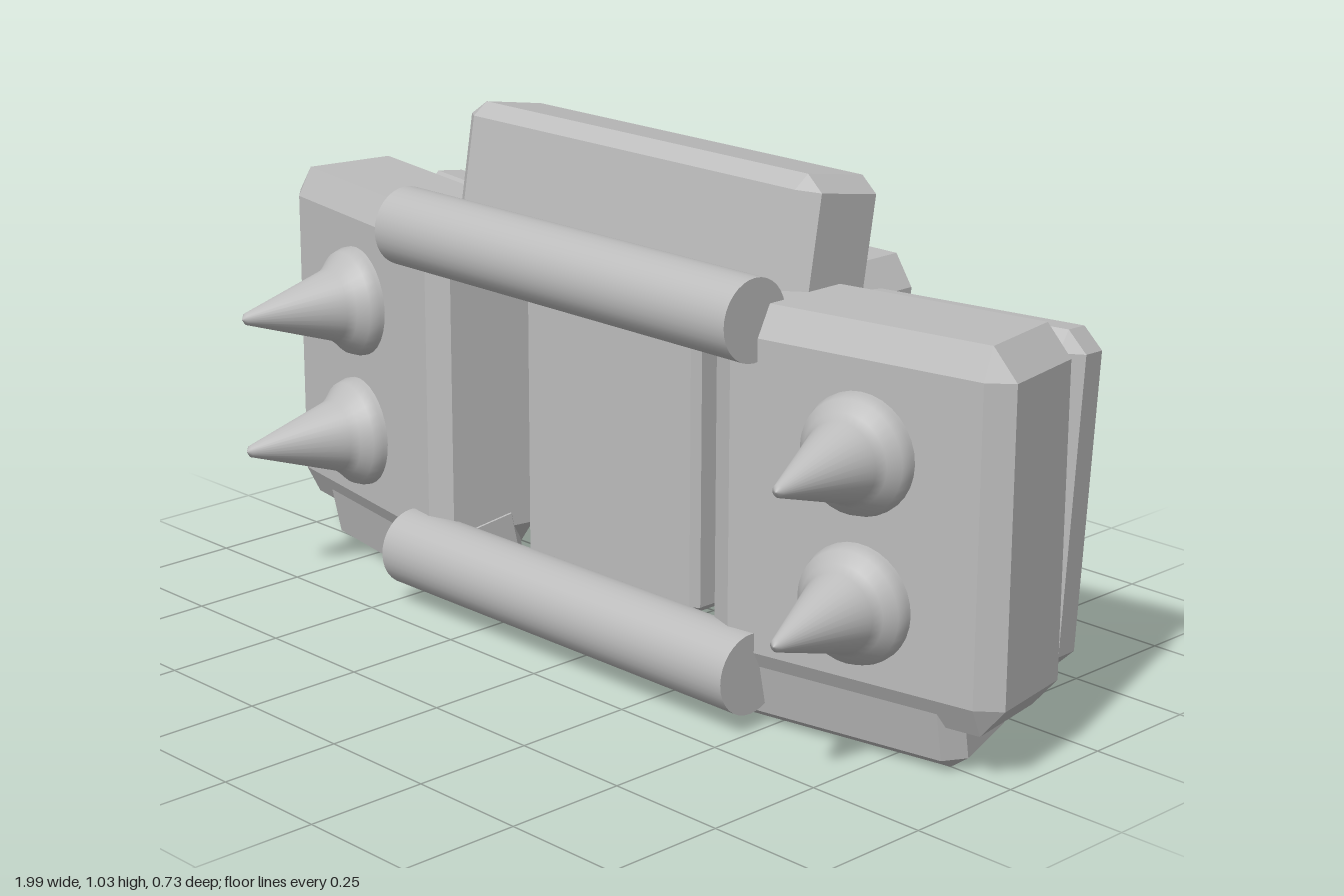
import * as THREE from 'three';
import { ConvexGeometry } from 'three/addons/geometries/ConvexGeometry.js';

const steel = new THREE.MeshStandardMaterial({ color: 0xbcbcbc });
steel.name = 'steel grey';

function add(parent, name, geometry, x, y, z, rx = 0, ry = 0) {
  const mesh = new THREE.Mesh(geometry, steel);
  mesh.name = name;
  mesh.position.set(x, y, z);
  mesh.rotation.set(rx, ry, 0, 'YXZ');
  parent.add(mesh);
  return mesh;
}

// Box with every edge chamfered; cx, cy, cz are the cuts along each axis
function chamferBox(w, h, d, cx, cy = cx, cz = cx) {
  const points = [];
  for (const x of [-1, 1]) for (const y of [-1, 1]) for (const z of [-1, 1]) {
    const [a, b, c] = [w / 2, h / 2, d / 2];
    points.push(
      new THREE.Vector3(x * a, y * (b - cy), z * (c - cz)),
      new THREE.Vector3(x * (a - cx), y * b, z * (c - cz)),
      new THREE.Vector3(x * (a - cx), y * (b - cy), z * c));
  }
  return new ConvexGeometry(points);
}

export function createModel() {
  const model = new THREE.Group();
  model.name = 'spikedBuckle';
  const turn = 0.175;

  // Central pieces
  add(model, 'backBlock', chamferBox(0.89, 0.73, 0.21, 0.04, 0.06, 0.03), 0, 0.465, -0.255);
  add(model, 'centrePanel', chamferBox(0.49, 0.62, 0.22, 0.015), 0, 0.45, -0.06);
  add(model, 'topPlate', chamferBox(0.97, 0.31, 0.21, 0.04, 0.03, 0.03), 0, 0.874, -0.083, -0.17);

  // Horizontal rods
  const rod = (name, radius, length, y, z) => {
    const g = new THREE.CylinderGeometry(radius, radius, length, 32);
    g.rotateZ(Math.PI / 2);
    add(model, name, g, 0, y, z);
  };
  rod('upperBar', 0.08, 0.98, 0.805, 0.147);
  rod('lowerBar', 0.08, 0.98, 0.12, 0.147);
  rod('hingeRod', 0.03, 1.0, 0.66, -0.13);

  // Spike with a rounded skirt, pointing along +z
  const profile = [[0.115, -0.03], [0.115, 0.01], [0.108, 0.03], [0.088, 0.05],
    [0.076, 0.066], [0.012, 0.262], [0, 0.27]].map(([r, y]) => new THREE.Vector2(r, y));
  const spikeGeometry = new THREE.LatheGeometry(profile, 32);
  spikeGeometry.rotateX(Math.PI / 2);

  // Angled side pieces, mirrored left and right
  for (const side of [1, -1]) {
    const prefix = side > 0 ? 'left' : 'right';
    const block = new THREE.Group();
    block.name = prefix + 'SideBlock';
    block.position.set(side * 0.67, 0.465, -0.02);
    block.rotation.y = side * turn;
    model.add(block);
    add(block, 'block', chamferBox(0.63, 0.73, 0.25, 0.05, 0.06, 0.03), 0, 0, 0);
    for (const y of [0.13, -0.155]) add(block, 'spike', spikeGeometry, side * 0.017, y, 0.125);

    add(model, prefix + 'BackPlate', chamferBox(0.52, 0.65, 0.12, 0.04, 0.04, 0.03),
      side * 0.66, 0.46, -0.228, -0.1, side * turn);
    add(model, prefix + 'Foot', chamferBox(0.54, 0.19, 0.19, 0.04, 0.03, 0.03),
      side * 0.625, 0.112, -0.003, 0.2, side * turn);
    add(model, prefix + 'HingeKnuckle', new THREE.CapsuleGeometry(0.035, 0.14, 6, 16),
      side * 0.49, 0.7, -0.135);
  }
  return model;
}
